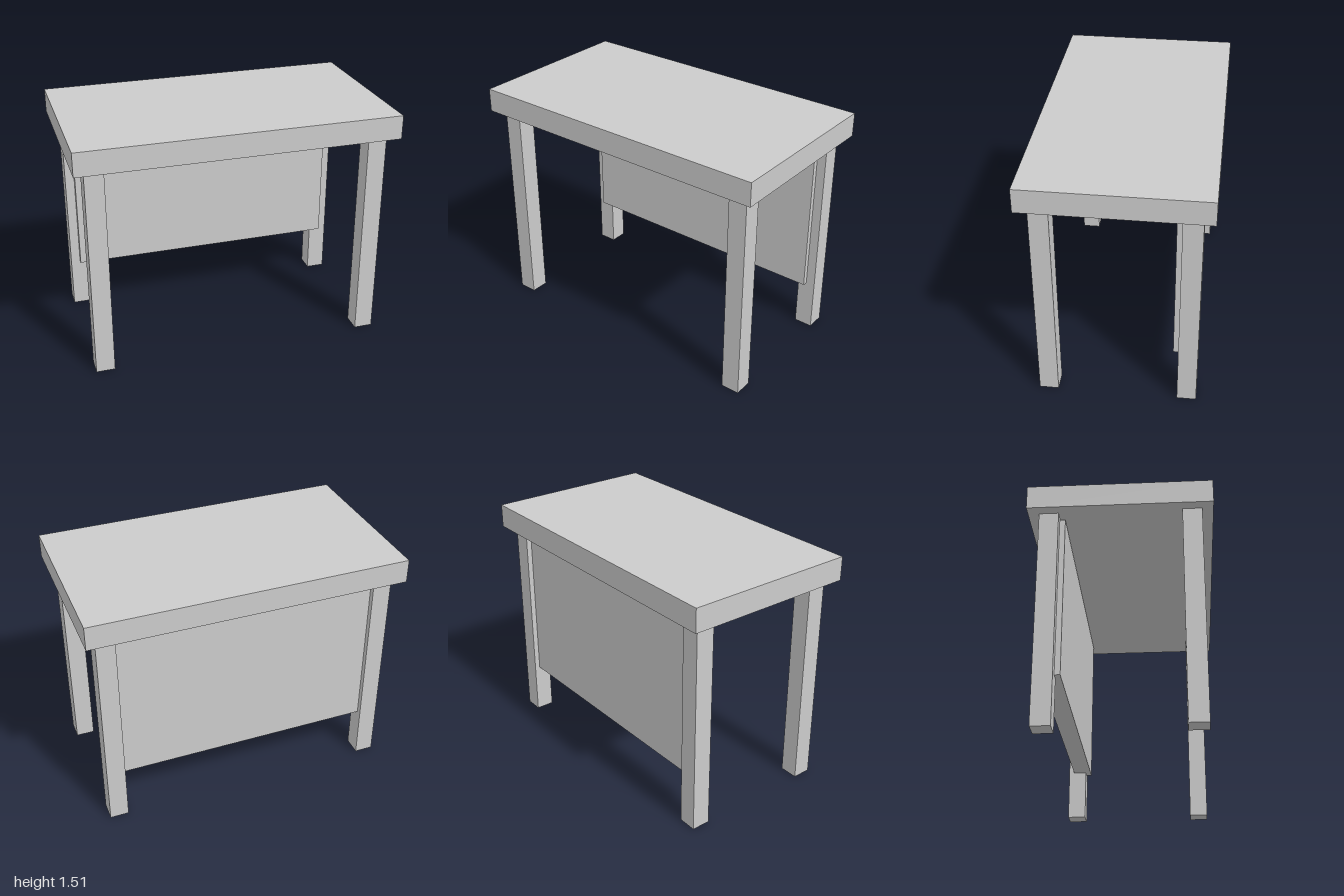
import * as THREE from 'three';

const material = new THREE.MeshStandardMaterial({ color: 0xcccccc, flatShading: true });

// Axis-aligned box given by its size and centre
function addBox(group, name, [w, h, d], [x, y, z]) {
  const mesh = new THREE.Mesh(new THREE.BoxGeometry(w, h, d), material);
  mesh.name = name;
  mesh.position.set(x, y, z);
  group.add(mesh);
}

export function createModel() {
  const desk = new THREE.Group();
  desk.name = 'desk';

  const topBottom = 1.364, topHeight = 0.15;
  const legSize = 0.118, legX = 0.875, legZ = 0.429;

  // Table top
  addBox(desk, 'tableTop', [2, topHeight, 1.11], [0, topBottom + topHeight / 2, 0]);

  // Four square legs
  for (const [side, sx] of [['Left', 1], ['Right', -1]]) {
    for (const [end, sz] of [['front', 1], ['back', -1]]) {
      addBox(desk, `${end}${side}Leg`, [legSize, topBottom, legSize],
        [sx * legX, topBottom / 2, sz * legZ]);
    }
  }

  // Back panel, let into the rear legs and stopping just under the top
  const panelBottom = 0.327, panelTop = 1.354;
  addBox(desk, 'backPanel', [2 * legX, panelTop - panelBottom, legSize],
    [0, (panelTop + panelBottom) / 2, -0.395]);

  return desk;
}
